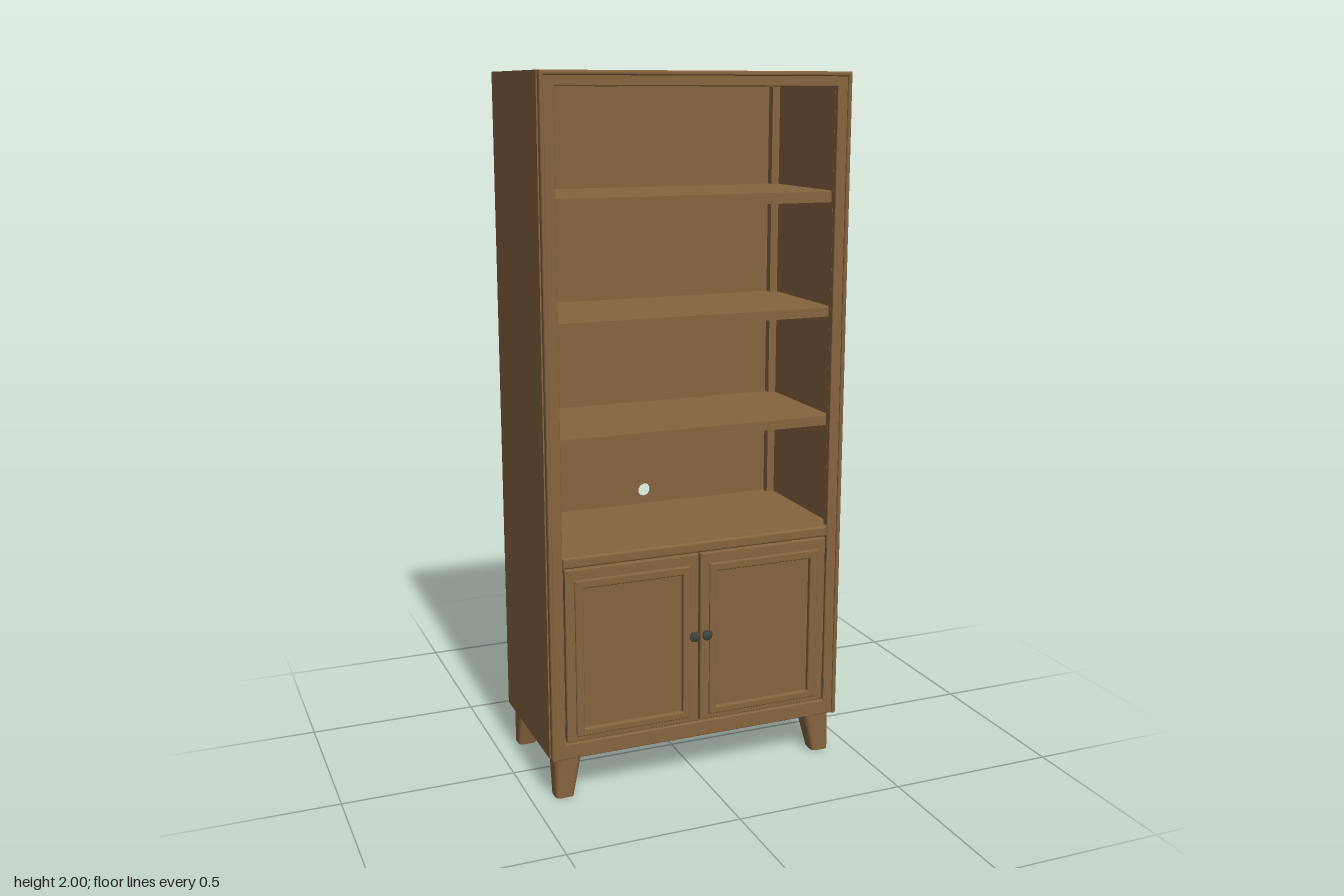
import * as THREE from 'three';

export function createModel() {
  const model = new THREE.Group();
  model.name = 'bookcase';

  const wood = new THREE.MeshStandardMaterial({ color: 0x86643f });
  wood.name = 'brown wood';
  const dark = new THREE.MeshStandardMaterial({ color: 0x42443d });
  dark.name = 'dark grey';

  function add(name, geometry, material = wood, parent = model) {
    const mesh = new THREE.Mesh(geometry, material);
    mesh.name = name;
    parent.add(mesh);
    return mesh;
  }

  // Box given by its limits on each axis
  function box(name, x0, x1, y0, y1, z0, z1, material, parent) {
    const g = new THREE.BoxGeometry(x1 - x0, y1 - y0, z1 - z0);
    g.translate((x0 + x1) / 2, (y0 + y1) / 2, (z0 + z1) / 2);
    return add(name, g, material, parent);
  }

  const corners = (x0, x1, y0, y1) => [[x0, y0], [x1, y0], [x1, y1], [x0, y1]].map(p => new THREE.Vector2(...p));

  // Flat outline with softened front edges, between two depths
  function extrude(name, shape, z0, z1, bevel, parent) {
    const g = new THREE.ExtrudeGeometry(shape, {
      depth: z1 - z0 - 2 * bevel, bevelEnabled: bevel > 0, bevelThickness: bevel,
      bevelSize: bevel, bevelOffset: -bevel, bevelSegments: 3, curveSegments: 5,
    });
    g.translate(0, 0, z0 + bevel);
    return add(name, g, wood, parent);
  }

  // Rectangular frame: outer limits, inner limits
  function frame(name, outer, inner, z0, z1, bevel, parent) {
    const shape = new THREE.Shape(corners(...outer));
    shape.holes.push(new THREE.Path(corners(...inner)));
    return extrude(name, shape, z0, z1, bevel, parent);
  }

  // Carcass
  for (const s of [-1, 1]) {
    const side = box('sidePanel', 0.43, 0.446, 0.12, 1.985, -0.23, 0.187);
    side.scale.x = s;
    const post = box('backPost', 0.406, 0.43, 0.165, 1.985, -0.219, -0.195);
    post.scale.x = s;
  }
  box('topPanel', -0.446, 0.446, 1.985, 2, -0.23, 0.19);
  box('bottomPanel', -0.43, 0.43, 0.125, 0.165, -0.219, 0.187);
  box('backTopRail', -0.43, 0.43, 1.96, 1.985, -0.219, -0.195);

  // Back panel with cable hole: wood inside, dark outside
  const back = new THREE.Shape(corners(-0.436, 0.436, 0.122, 1.985));
  const hole = new THREE.Path();
  hole.absarc(0, 0.752, 0.021, Math.PI / 2, Math.PI * 2.5, false);
  back.holes.push(hole);
  extrude('backPanelInside', back, -0.225, -0.219, 0);
  extrude('backPanelOutside', back, -0.229, -0.225, 0).material = dark;

  // Nail heads round the back panel
  const nail = (x, y) => {
    const g = new THREE.CylinderGeometry(0.004, 0.004, 0.004, 8).rotateX(Math.PI / 2);
    add('nailHead', g, dark).position.set(x, y, -0.23);
  };
  for (let i = 0; i < 10; i++) for (const s of [-1, 1]) nail(s * 0.425, 0.235 + i * 0.185);
  for (let i = -2; i <= 2; i++) for (const y of [0.14, 1.973]) nail(i * 0.18, y);

  // Front frame, with a shadow groove behind it and a raised outer moulding
  frame('frameBacking', [-0.436, 0.436, 0.12, 1.99], [-0.405, 0.405, 0.165, 1.96], 0.187, 0.196, 0);
  frame('frontFrame', [-0.44, 0.44, 0.12, 1.99], [-0.405, 0.405, 0.165, 1.96], 0.194, 0.211, 0.003);
  const arch = [[-0.446, 0.12], [-0.434, 0.12], [-0.434, 1.987], [0.434, 1.987],
    [0.434, 0.12], [0.446, 0.12], [0.446, 2], [-0.446, 2]];
  extrude('outerMoulding', new THREE.Shape(arch.map(p => new THREE.Vector2(...p))), 0.194, 0.217, 0.005);
  box('topNosing', -0.44, 0.44, 1.987, 1.9985, 0.187, 0.2);

  // Shelves
  for (const [y0, y1] of [[1.645, 1.675], [1.322, 1.348], [1.005, 1.032]]) {
    box('shelf', -0.429, 0.429, y0, y1, -0.215, 0.172);
  }
  box('fixedShelf', -0.43, 0.43, 0.685, 0.71, -0.219, 0.19);
  extrude('middleRail', new THREE.Shape(corners(-0.405, 0.405, 0.68, 0.711)), 0.187, 0.213, 0.006);

  // Doors: recessed panel, frame, raised moulding, knob and hinges
  const knobProfile = [[0.0001, 0], [0.01, 0], [0.007, 0.003], [0.006, 0.008], [0.013, 0.012],
    [0.016, 0.015], [0.013, 0.018], [0.0001, 0.02]].map(p => new THREE.Vector2(...p));
  for (const s of [-1, 1]) {
    const door = new THREE.Group();
    door.name = s > 0 ? 'leftDoor' : 'rightDoor';
    const opening = [0.052, 0.349, 0.207, 0.62];
    box('doorPanel', 0.04, 0.36, 0.195, 0.635, 0.195, 0.204, wood, door);
    frame('doorFrame', [0.003, 0.4, 0.17, 0.676], opening, 0.192, 0.212, 0.003, door);
    frame('doorMoulding', [0.03, 0.373, 0.185, 0.645], opening, 0.2, 0.218, 0.004, door);
    const knob = add('knob', new THREE.LatheGeometry(knobProfile, 20), dark, door);
    knob.rotation.x = Math.PI / 2;
    knob.position.set(0.019, 0.435, 0.211);
    for (const y of [0.22, 0.625]) {
      const hinge = add('hinge', new THREE.CylinderGeometry(0.003, 0.003, 0.04, 8), dark, door);
      hinge.position.set(0.4025, y, 0.211);
    }
    door.scale.x = s;
    model.add(door);
  }

  // Legs: rounded square section, tapering towards the outer corner
  function legGeometry() {
    const w = 0.082, r = 0.024;
    const shape = new THREE.Shape();
    shape.moveTo(-r, 0);
    shape.lineTo(-w + r, 0);
    shape.quadraticCurveTo(-w, 0, -w, r);
    shape.lineTo(-w, w - r);
    shape.quadraticCurveTo(-w, w, -w + r, w);
    shape.lineTo(-r, w);
    shape.quadraticCurveTo(0, w, 0, w - r);
    shape.lineTo(0, r);
    shape.quadraticCurveTo(0, 0, -r, 0);
    const g = new THREE.ExtrudeGeometry(shape, { depth: 0.126, bevelEnabled: false, curveSegments: 5 });
    g.rotateX(-Math.PI / 2);
    const p = g.attributes.position;
    for (let i = 0; i < p.count; i++) {
      const k = 0.66 + 0.34 * p.getY(i) / 0.126;
      p.setX(i, p.getX(i) * k);
      p.setZ(i, p.getZ(i) * k);
    }
    g.computeVertexNormals();
    return g;
  }
  const leg = legGeometry();
  for (const s of [-1, 1]) {
    const front = add('frontLeg', leg);
    front.position.set(s * 0.432, 0, 0.202);
    front.scale.x = s;
    const rear = add('rearLeg', leg);
    rear.position.set(s * 0.432, 0, -0.224);
    rear.scale.set(s, 1, -1);
  }

  return model;
}
